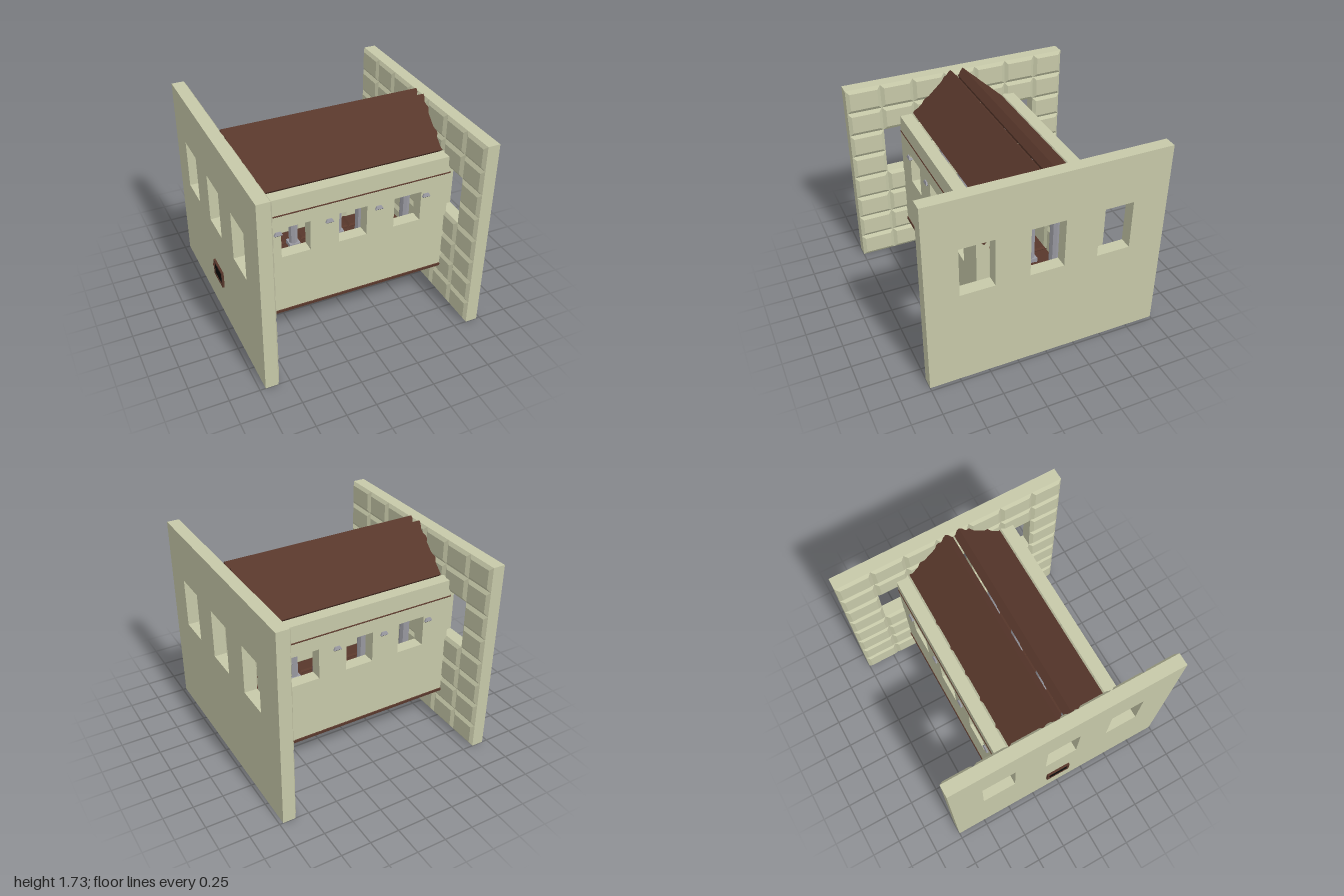
import * as THREE from 'three';
import { mergeGeometries } from 'three/addons/utils/BufferGeometryUtils.js';

const mat = (color) => new THREE.MeshStandardMaterial({ color, flatShading: true });
const CREAM = mat(0xc6c8a8), BROWN = mat(0x58372b), STONE = mat(0x4a4a4a);
const GREY = mat(0x9a9aa2), BLACK = mat(0x0a0a0a);

function add(parent, name, geometry, material, x = 0, y = 0, z = 0) {
  const mesh = new THREE.Mesh(geometry, material);
  mesh.name = name;
  mesh.position.set(x, y, z);
  parent.add(mesh);
  return mesh;
}

// Box whose -z face is narrowed on all sides: one bevelled panel
function panel(x0, x1, y0, y1, z, bump, bevel) {
  const w = x1 - x0, h = y1 - y0;
  const g = new THREE.BoxGeometry(w, h, bump);
  const p = g.attributes.position;
  for (let i = 0; i < p.count; i++) {
    if (p.getZ(i) < 0) {
      p.setX(i, Math.sign(p.getX(i)) * (w / 2 - bevel));
      p.setY(i, Math.sign(p.getY(i)) * (h / 2 - bevel));
    }
  }
  g.translate((x0 + x1) / 2, (y0 + y1) / 2, z - bump / 2);
  const flat = g.toNonIndexed();
  flat.computeVertexNormals();
  return flat;
}

// Slab with its plain face at z = 0, bevelled panels on the -z side,
// and windows through odd columns over the given rows
function panelSlab({ w, h, cols, rows, depth, bump = 0.02, bevel = 0.03, shift = 0, windowRows = [] }) {
  const xs = [];
  for (let c = 0; c <= cols; c++) {
    xs.push(-w / 2 + (c * w) / cols + (c > 0 && c < cols ? shift : 0));
  }
  const step = h / rows;
  const rect = (T, x0, x1, y0, y1) => {
    const s = new T();
    s.moveTo(x0, y0);
    s.lineTo(x1, y0);
    s.lineTo(x1, y1);
    s.lineTo(x0, y1);
    s.closePath();
    return s;
  };
  const shape = rect(THREE.Shape, -w / 2, w / 2, 0, h);
  const parts = [];
  for (let c = 0; c < cols; c++) {
    const windowed = windowRows.length > 0 && c % 2 === 1;
    if (windowed) {
      const bottom = windowRows[0] * step;
      const top = (windowRows[windowRows.length - 1] + 1) * step;
      shape.holes.push(rect(THREE.Path, xs[c], xs[c + 1], bottom, top));
    }
    for (let r = 0; r < rows; r++) {
      if (windowed && windowRows.includes(r)) continue;
      parts.push(panel(xs[c], xs[c + 1], r * step, (r + 1) * step, -depth, bump, bevel));
    }
  }
  const body = new THREE.ExtrudeGeometry(shape, { depth, bevelEnabled: false });
  body.translate(0, 0, -depth);
  return mergeGeometries([body, ...parts]);
}

// Front half of the hall, repeated at the back by a half turn
function hallHalf() {
  const half = new THREE.Group();
  half.name = 'hallHalf';
  const w = 1.705, face = 0.538;

  add(half, 'longWall', panelSlab({
    w, h: 1.08, cols: 7, rows: 4, depth: 0.105, shift: -0.009, windowRows: [2],
  }), CREAM, 0, 0.31, face);

  // Roof slope
  const roof = add(half, 'roofSlope', panelSlab({
    w, h: 0.492, cols: 7, rows: 2, depth: 0.075,
  }), BROWN, 0, 1.39, 0.418);
  roof.rotation.x = -Math.atan2(0.36, 0.335);

  // Square bar set on edge through the wall
  const bar = add(half, 'trimBar', new THREE.BoxGeometry(w, 0.094, 0.094), BROWN, 0.006, 1.24, face - 0.06);
  bar.rotation.x = Math.PI / 4;

  for (const x of [-0.643, -0.215, 0.215, 0.643]) {
    // Lamp hood
    const hood = new THREE.CylinderGeometry(0.03, 0.05, 0.026, 4);
    hood.rotateY(Math.PI / 4);
    hood.scale(1, 1, 0.5);
    add(half, 'lampHood', hood, GREY, x, 1.085, face);
    add(half, 'lampBase', new THREE.BoxGeometry(0.06, 0.01, 0.024), STONE, x, 1.07, face);
    // Column with plinth and capital, standing over a foundation block
    add(half, 'column', new THREE.CylinderGeometry(0.042, 0.042, 1.1, 8), GREY, x, 0.87, 0.22);
    add(half, 'columnPlinth', new THREE.BoxGeometry(0.1, 0.05, 0.1), GREY, x, 0.345, 0.22);
    add(half, 'columnCapital', new THREE.BoxGeometry(0.1, 0.05, 0.1), GREY, x, 1.4, 0.22);
    add(half, 'foundationBlock', new THREE.BoxGeometry(0.15, 0.1, 0.15), STONE, x, 0.26, 0.22);
  }
  return half;
}

export function createModel() {
  const model = new THREE.Group();
  model.name = 'hallBetweenWalls';

  // Tall end walls, each the half turn of the other
  const endWall = panelSlab({
    w: 2, h: 1.71, cols: 7, rows: 8, depth: 0.105, shift: -0.015, windowRows: [4, 5],
  });
  for (const [name, x, turn] of [['leftEndWall', 0.97, 1], ['rightEndWall', -0.953, -1]]) {
    add(model, name, endWall, CREAM, x).rotation.y = (turn * Math.PI) / 2;
  }

  // Hall
  for (const turn of [0, Math.PI]) {
    const half = hallHalf();
    half.position.set(0.008, 0, 0.012);
    half.rotation.y = turn;
    model.add(half);
  }

  // Floor, panelled on top
  const floor = add(model, 'floor', panelSlab({
    w: 1.69, h: 1.09, cols: 7, rows: 4, depth: 0.022, bump: 0.01, bevel: 0.02,
  }), BROWN, 0.008, 0.3, -0.533);
  floor.rotation.x = Math.PI / 2;

  // Framed hatch on the right end wall
  const hatch = new THREE.Group();
  hatch.name = 'hatch';
  hatch.position.set(-0.96, 0.395, -0.018);
  add(hatch, 'hatchPanel', new THREE.BoxGeometry(0.012, 0.13, 0.19), BLACK);
  for (const s of [-1, 1]) {
    add(hatch, 'hatchRail', new THREE.BoxGeometry(0.022, 0.018, 0.215), BROWN, 0, s * 0.066, 0);
    add(hatch, 'hatchStile', new THREE.BoxGeometry(0.022, 0.15, 0.018), BROWN, 0, 0, s * 0.0985);
  }
  add(hatch, 'hatchKnob', new THREE.BoxGeometry(0.014, 0.016, 0.016), BROWN, -0.01, 0.025, -0.0985);
  model.add(hatch);

  return model;
}
